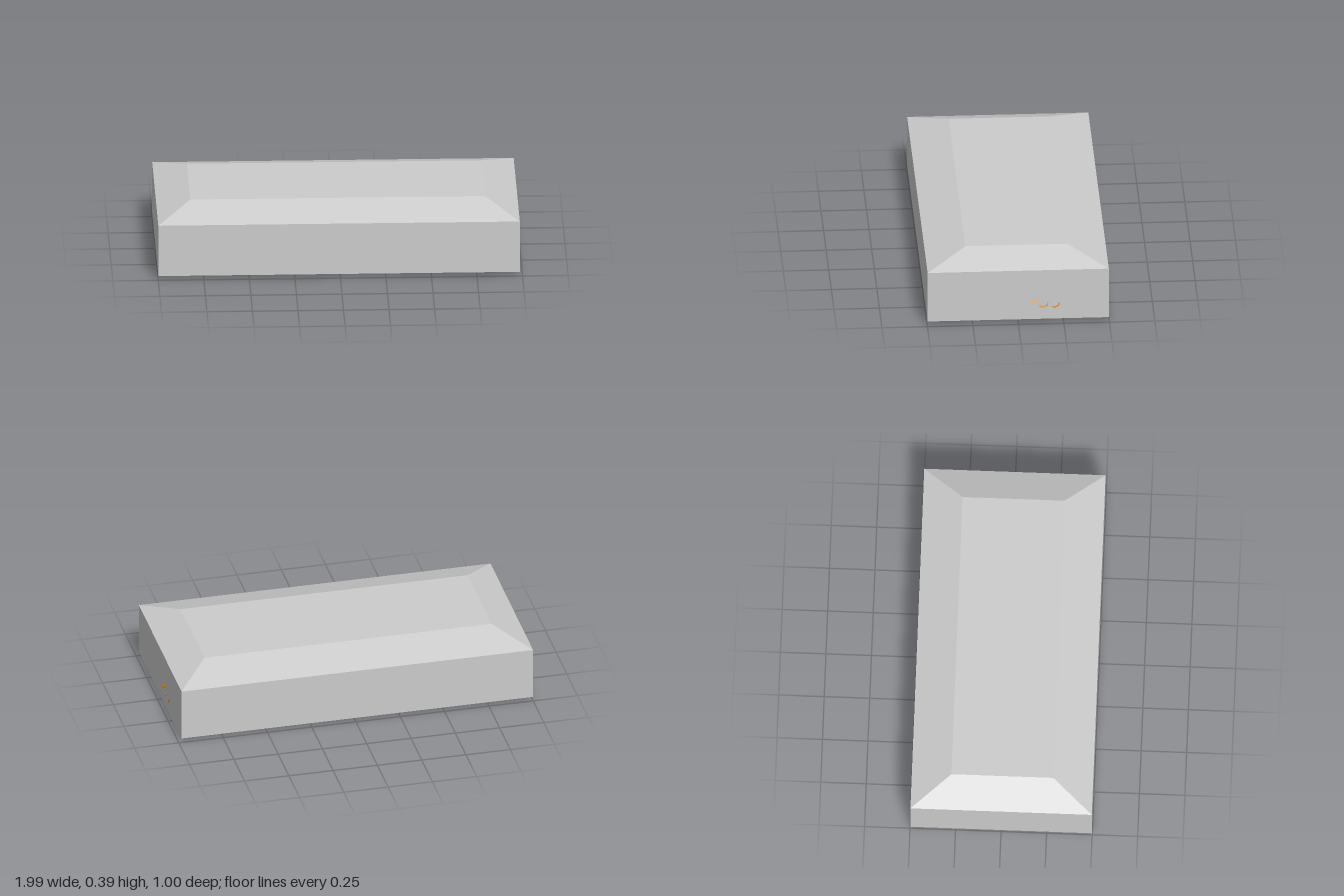
import * as THREE from 'three';

const paint = (color, flatShading = false) => new THREE.MeshStandardMaterial({ color, flatShading });
const grey = paint(0xcccccc);
const black = paint(0x202020);
const copper = paint(0xd98a10, true);
const red = paint(0xa80808);
const blue = paint(0x1609b4);

function add(parent, name, geometry, material) {
  const mesh = new THREE.Mesh(geometry, material);
  mesh.name = name;
  parent.add(mesh);
  return mesh;
}

// Hollow cover: rectangular rings run down the outside, around the rim and up the inside
function coverGeometry() {
  // half width, y, half depth
  const rings = [
    [0.4, 0.395, 0], [0.81, 0.395, 0.28], [0.9925, 0.325, 0.498], [0.9925, 0.03, 0.498],
    [0.9425, 0.03, 0.448], [0.9425, 0.30, 0.448], [0.80, 0.355, 0.27], [0.4, 0.355, 0],
  ];
  const signs = [[1, 1], [1, -1], [-1, -1], [-1, 1]];
  const corner = (ring, k) => {
    const [sx, sz] = signs[k % 4];
    return [ring[0] * sx - 0.0075, ring[1], ring[2] * sz];
  };
  const positions = [];
  for (let i = 0; i < rings.length - 1; i++) {
    for (let k = 0; k < 4; k++) {
      const a = corner(rings[i], k), b = corner(rings[i + 1], k);
      const c = corner(rings[i + 1], k + 1), d = corner(rings[i], k + 1);
      positions.push(...a, ...b, ...c, ...a, ...c, ...d);
    }
  }
  const geometry = new THREE.BufferGeometry();
  geometry.setAttribute('position', new THREE.Float32BufferAttribute(positions, 3));
  geometry.computeVertexNormals();
  return geometry;
}

// Line sagging twice, held up in the middle: half-span points mirrored about x = 0
function saggingCurve({ z, sag, endZ, endY, midY }) {
  const half = [[0.24, (sag + midY) / 2, z], [0.53, sag, z], [0.78, sag + 0.028, z * 0.7 + endZ * 0.3],
    [0.96, endY, endZ]];
  const points = [
    ...half.map(([x, y, w]) => [-x, y, w]).reverse(),
    [0, midY, z],
    ...half,
  ];
  return new THREE.CatmullRomCurve3(points.map((p) => new THREE.Vector3(...p)));
}

// Hollow eight-sided sleeve, mouth at the origin, body running back along -y
function sleeveGeometry() {
  const profile = [[0.024, -0.1], [0.034, -0.1], [0.034, 0], [0.026, 0], [0.024, -0.1]];
  return new THREE.LatheGeometry(profile.map(([r, y]) => new THREE.Vector2(r, y)), 8);
}

export function createModel() {
  const model = new THREE.Group();
  model.name = 'cableDuct';
  add(model, 'cover', coverGeometry(), grey);

  // Straight large pipe
  const pipe = add(model, 'largePipe', new THREE.CylinderGeometry(0.088, 0.088, 1.9, 24), blue);
  pipe.rotation.z = Math.PI / 2;
  pipe.position.set(-0.0075, 0.15, 0.24);

  // Flexible hose beside it
  const hose = saggingCurve({ z: 0.06, sag: 0.1, endZ: 0.06, endY: 0.15, midY: 0.13 });
  add(model, 'hose', new THREE.TubeGeometry(hose, 64, 0.058, 16), red);

  // Bundle of cables with a sleeve on each end
  const cables = [
    { z: -0.115, sag: 0.033, endZ: -0.087, endY: 0.15, midY: 0.085 },
    { z: -0.175, sag: 0.033, endZ: -0.138, endY: 0.124, midY: 0.085 },
    { z: -0.23, sag: 0.06, endZ: -0.2, endY: 0.124, midY: 0.1 },
    { z: -0.285, sag: 0.033, endZ: -0.285, endY: 0.13, midY: 0.085 },
    { z: -0.15, sag: 0.085, endZ: -0.24, endY: 0.17, midY: 0.135 },
  ];
  const sleeve = sleeveGeometry();
  const up = new THREE.Vector3(0, 1, 0);
  cables.forEach((spec, i) => {
    const group = new THREE.Group();
    group.name = `cable${i + 1}`;
    model.add(group);
    const curve = saggingCurve(spec);
    add(group, 'cableCore', new THREE.TubeGeometry(curve, 64, 0.027, 8), black);
    for (const end of [0, 1]) {
      const outward = curve.getTangent(end).multiplyScalar(end ? 1 : -1);
      const tip = add(group, end ? 'leftSleeve' : 'rightSleeve', sleeve, copper);
      // The left mouths break slightly through the end wall
      const reach = end && i < 3 ? 0.022 : 0.005;
      tip.position.copy(curve.getPoint(end)).addScaledVector(outward, reach);
      tip.quaternion.setFromUnitVectors(up, outward);
    }
  });

  // U-shaped hanger under the bundle
  const hanger = new THREE.Group();
  hanger.name = 'hanger';
  model.add(hanger);
  add(hanger, 'hangerBar', new THREE.BoxGeometry(0.026, 0.014, 0.305), grey).position.set(-0.01, 0.033, -0.1725);
  for (const z of [-0.027, -0.318]) {
    add(hanger, 'hangerPost', new THREE.BoxGeometry(0.026, 0.335, 0.014), grey).position.set(-0.01, 0.1935, z);
  }
  return model;
}
